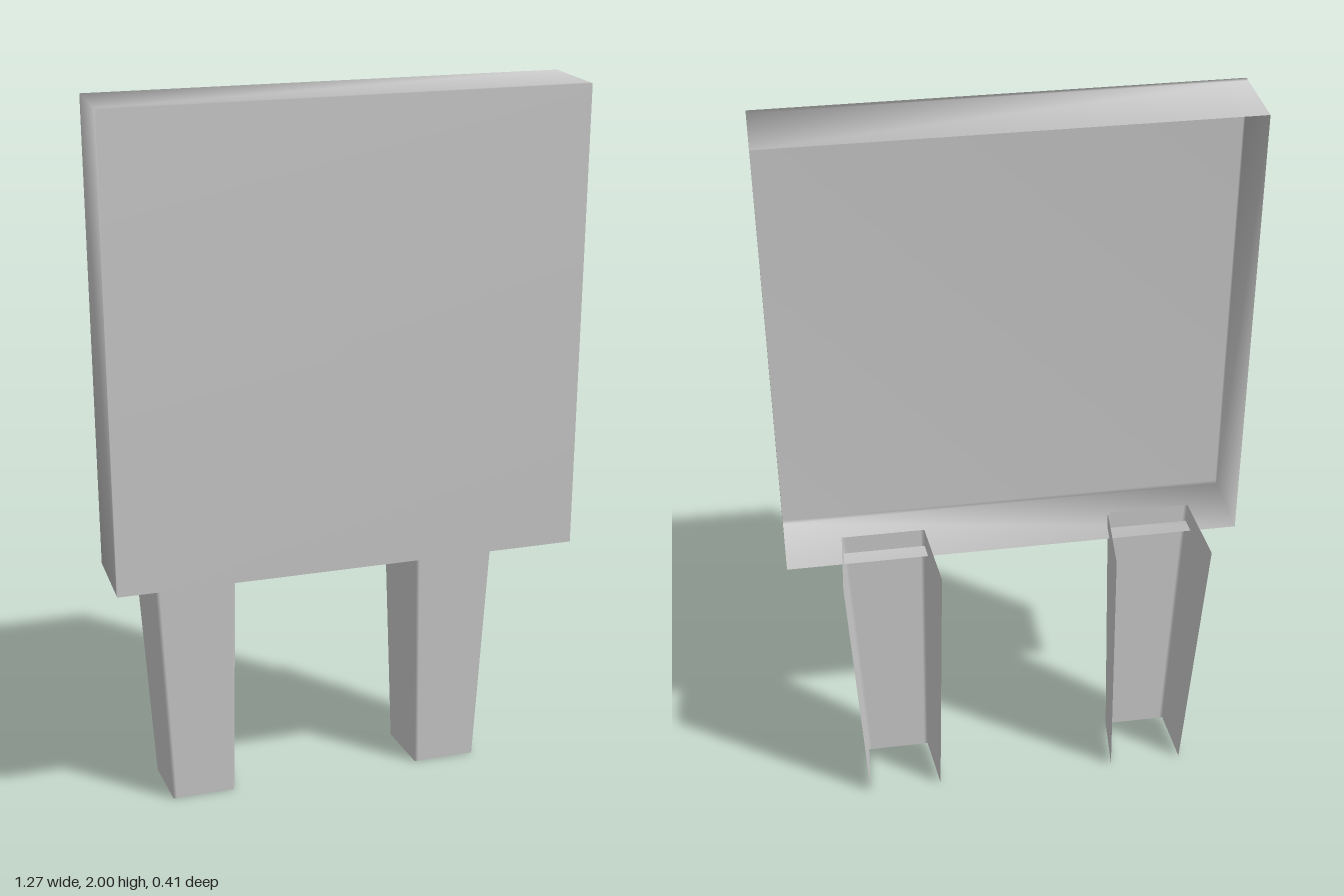
import * as THREE from 'three';

// Skin a series of rings with shared vertices, so shading stays smooth.
function loft(rings, closed, capLast) {
  const n = rings[0].length;
  const index = [];
  for (let r = 0; r < rings.length - 1; r++) {
    for (let i = 0; i < (closed ? n : n - 1); i++) {
      const j = (i + 1) % n;
      const a = r * n + i, b = r * n + j;
      index.push(a, b, b + n, a, b + n, a + n);
    }
  }
  if (capLast) {
    const s = (rings.length - 1) * n;
    for (let i = 1; i < n - 1; i++) index.push(s, s + i, s + i + 1);
  }
  const geometry = new THREE.BufferGeometry();
  geometry.setAttribute('position', new THREE.Float32BufferAttribute(rings.flat(2), 3));
  geometry.setIndex(index);
  geometry.computeVertexNormals();
  return geometry;
}

export function createModel() {
  const model = new THREE.Group();
  model.name = 'signPanel';
  const metal = new THREE.MeshStandardMaterial({ color: 0xcccccc, side: THREE.DoubleSide });
  metal.name = 'light grey metal';

  const add = (name, geometry) => {
    const mesh = new THREE.Mesh(geometry, metal);
    mesh.name = name;
    model.add(mesh);
  };

  // Thin square tray, open at the back
  const w = 0.633, low = 0.74, high = 2;
  const frame = z => [[-w, low, z], [w, low, z], [w, high, z], [-w, high, z]];
  add('panel', loft([-0.025, 0.185, 0.202].map(frame), true, true));

  // Tapered channel legs, open at the back
  const channel = (y, innerBack, innerFront, outerFront, outerBack, back, front) => [
    [innerBack, y, back],
    [innerFront, y, front],
    [innerFront + 0.01, y, front],
    [outerFront - 0.01, y, front],
    [outerFront, y, front],
    [outerBack, y, back],
  ];
  const legRings = [
    channel(0, 0.242, 0.26, 0.437, 0.448, -0.163, 0.008),
    channel(0.795, 0.225, 0.246, 0.476, 0.49, -0.203, 0.024),
  ];
  add('leftLeg', loft(legRings, false, false));

  // The other leg is mirrored and sits slightly further out
  const mirrored = legRings.map(ring => ring.map(([x, y, z]) => [-x - 0.028, y, z]).reverse());
  add('rightLeg', loft(mirrored, false, false));

  return model;
}
